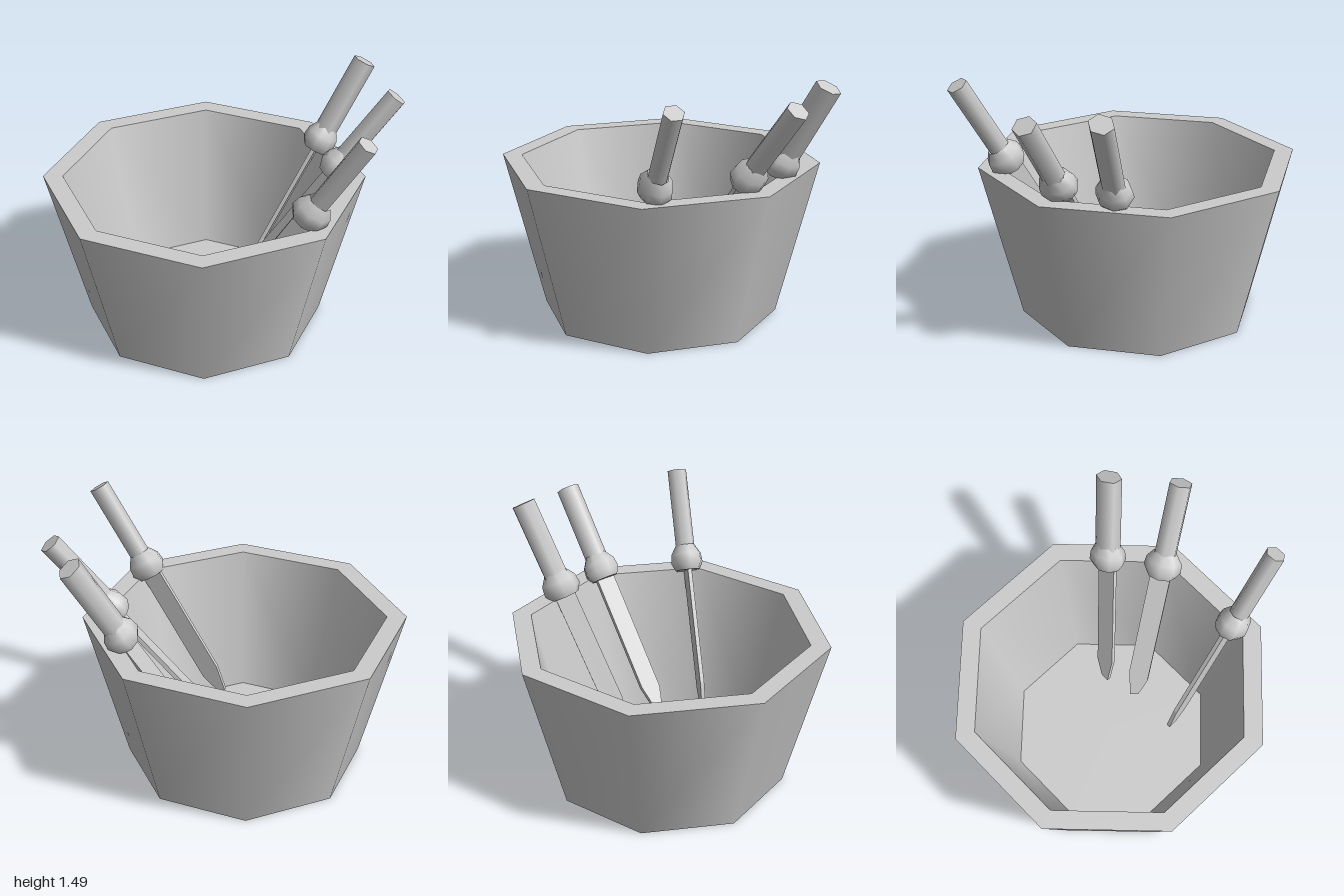
import * as THREE from 'three';

const grey = new THREE.MeshStandardMaterial({ color: 0xcccccc });
const greyDouble = new THREE.MeshStandardMaterial({ color: 0xcccccc, side: THREE.DoubleSide });

function add(parent, name, geometry, material = grey) {
  const mesh = new THREE.Mesh(geometry, material);
  mesh.name = name;
  parent.add(mesh);
  return mesh;
}

// Octagonal tub with a thick wall
function makeBucket() {
  const bucket = new THREE.Group();
  bucket.name = 'bucket';
  const H = 0.92, floorY = 0.09, sides = 8;
  const flat = -Math.PI / 2;
  add(bucket, 'outerWall', new THREE.CylinderGeometry(0.923, 0.69, H, sides, 1, true)).position.y = H / 2;
  add(bucket, 'innerWall', new THREE.CylinderGeometry(0.81, 0.6, H - floorY, sides, 1, true), greyDouble)
    .position.y = (H + floorY) / 2;
  add(bucket, 'rim', new THREE.RingGeometry(0.81, 0.923, sides).rotateX(flat)).position.y = H;
  add(bucket, 'innerFloor', new THREE.CircleGeometry(0.6, sides).rotateX(flat)).position.y = floorY;
  add(bucket, 'base', new THREE.CircleGeometry(0.69, sides).rotateX(-flat));
  bucket.position.set(-0.077, 0, 0.045);
  return bucket;
}

// Knife along y: guard at the origin, handle up, blade down, blade face towards z
function makeKnife({ name, guard, end, normal, width, depth }) {
  const knife = new THREE.Group();
  knife.name = name;
  const g = new THREE.Vector3(...guard), axis = new THREE.Vector3(...end).sub(g);
  const length = axis.length();
  const y = axis.normalize();
  const x = new THREE.Vector3().crossVectors(y, new THREE.Vector3(...normal)).normalize();
  const z = new THREE.Vector3().crossVectors(x, y);
  knife.quaternion.setFromRotationMatrix(new THREE.Matrix4().makeBasis(x, y, z));
  knife.position.copy(g);

  // Six-sided handle
  const handle = new THREE.CylinderGeometry(1, 1, length, 6);
  add(knife, 'handle', handle.scale(width, 1, depth)).position.y = length / 2;

  // Bulging guard with a flat underside
  const profile = [[0.085, -0.065], [0.112, -0.02], [0.105, 0.035], [0.066, 0.09]]
    .map(([r, h]) => new THREE.Vector2(r, h));
  add(knife, 'guard', new THREE.LatheGeometry(profile, 8).scale(1, 1, 0.88));
  add(knife, 'guardUnderside', new THREE.CircleGeometry(0.085, 8).rotateX(Math.PI / 2).scale(1, 1, 0.88))
    .position.y = -0.065;

  // Thin blade with an angled tip
  const L = 0.92, w = 0.06, t = 0.024;
  const outline = [[-w, 0], [-w, -L + 0.16], [-0.025, -L], [0.025, -L + 0.02], [w, -L + 0.13], [w, 0]]
    .map(([px, py]) => new THREE.Vector2(px, py));
  const blade = new THREE.ExtrudeGeometry(new THREE.Shape(outline), { depth: t, bevelEnabled: false });
  add(knife, 'blade', blade.translate(0, 0, -t / 2));
  return knife;
}

export function createModel() {
  const model = new THREE.Group();
  model.name = 'bucketWithKnives';
  model.add(makeBucket());
  const knives = [
    { name: 'backKnife', guard: [0.18, 0.99, -0.66], end: [0.285, 1.45, -0.9],
      normal: [0.85, -0.37, -0.34], width: 0.078, depth: 0.066 },
    { name: 'middleKnife', guard: [0.455, 0.99, -0.49], end: [0.65, 1.41, -0.74],
      normal: [-0.5, 0.6, 0.62], width: 0.068, depth: 0.064 },
    { name: 'sideKnife', guard: [0.69, 0.99, -0.01], end: [0.95, 1.46, -0.13],
      normal: [0.43, 0, 0.9], width: 0.06, depth: 0.058 },
  ];
  for (const k of knives) model.add(makeKnife(k));
  return model;
}
